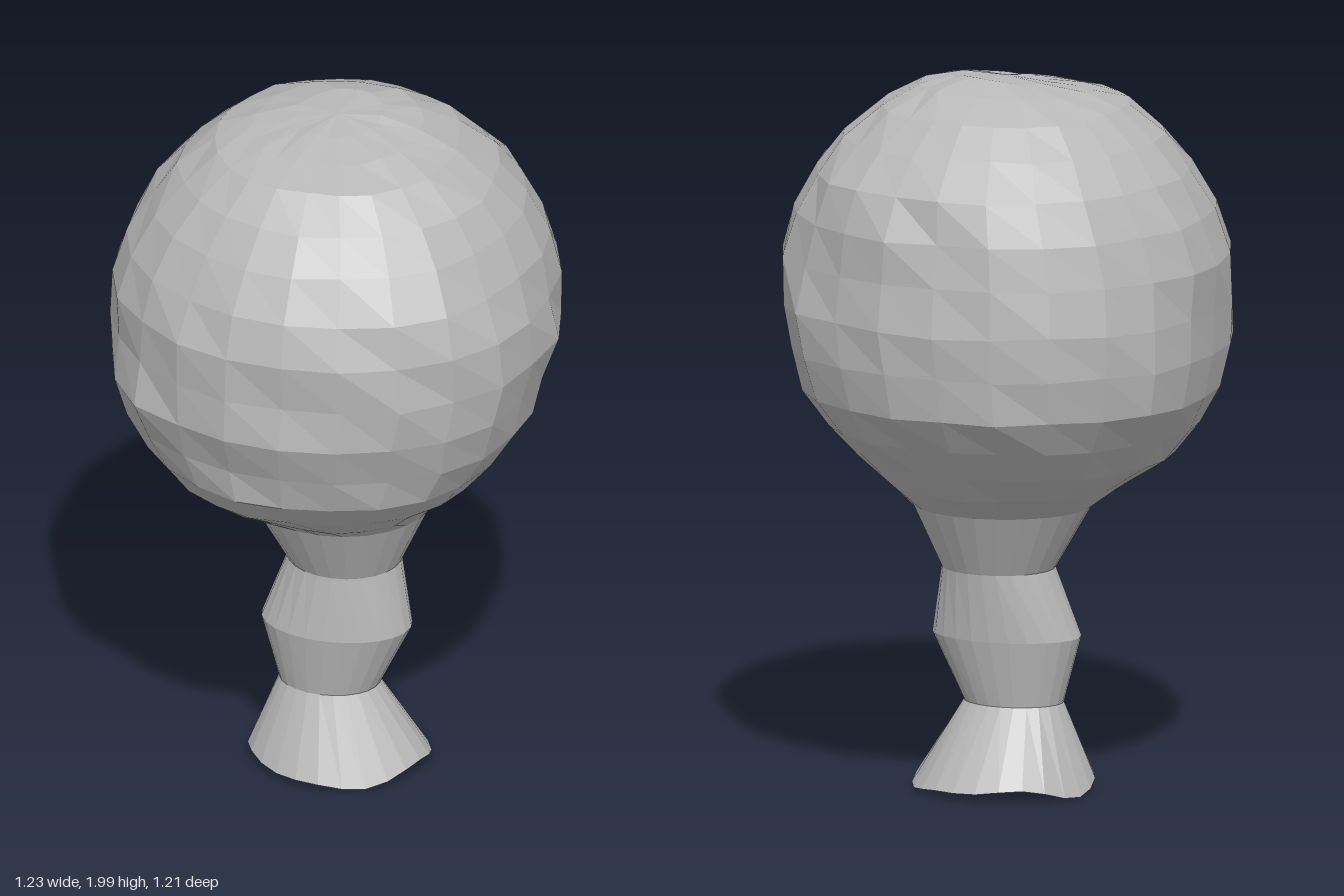
import * as THREE from 'three';

const SIDES = 24;

// Repeatable value in -1..1 for a ring and a side
function wobble(j, i) {
  const s = Math.sin(j * 127.1 + i * 311.7 + 4.3) * 43758.5453;
  return (s - Math.floor(s)) * 2 - 1;
}

// Faceted skin through rings of [y, minX, maxX, minZ, maxZ]
function loft(rings, shift) {
  const pos = [], index = [];
  rings.forEach(([y, x0, x1, z0, z1], j) => {
    for (let i = 0; i < SIDES; i++) {
      const a = (i / SIDES) * Math.PI * 2;
      const [k, dy] = shift(j, i, a);
      pos.push((x0 + x1) / 2 + Math.cos(a) * k * (x1 - x0) / 2, y + dy,
        (z0 + z1) / 2 + Math.sin(a) * k * (z1 - z0) / 2);
    }
  });
  for (let j = 0; j < rings.length - 1; j++) {
    for (let i = 0; i < SIDES; i++) {
      const n = (i + 1) % SIDES;
      const a = j * SIDES + i, b = j * SIDES + n, c = b + SIDES, d = a + SIDES;
      if (rings[j + 1][2] !== rings[j + 1][1]) index.push(a, d, c);
      else index.push(a, d, b);
      if (rings[j][2] !== rings[j][1] && rings[j + 1][2] !== rings[j + 1][1]) index.push(a, c, b);
    }
  }
  const indexed = new THREE.BufferGeometry();
  indexed.setAttribute('position', new THREE.Float32BufferAttribute(pos, 3));
  indexed.setIndex(index);
  const geometry = indexed.toNonIndexed();
  geometry.computeVertexNormals();
  return geometry;
}

export function createModel() {
  const group = new THREE.Group();
  const grey = new THREE.MeshStandardMaterial({ color: 0xb8b8b8 });
  grey.name = 'plain grey';

  // Stem: dimpled foot, flared base, flattened bulge and neck
  const stemRings = [
    [0.06, 0, 0, 0, 0],
    [0.05, -0.13, 0.13, -0.12, 0.11],
    [0.025, -0.25, 0.255, -0.245, 0.22],
    [0.245, -0.16, 0.12, -0.1, 0.115],
    [0.43, -0.21, 0.21, -0.135, 0.15],
    [0.62, -0.14, 0.175, -0.155, 0.135],
    [0.795, -0.24, 0.255, -0.24, 0.22],
  ];
  const stem = new THREE.Mesh(loft(stemRings, (j, i, a) => {
    const wave = j === 1 || j === 2 ? 0.013 * Math.sin(3 * a + 0.6) + 0.008 * Math.sin(5 * a) : 0;
    return [1, wave];
  }), grey);
  stem.name = 'stem';
  group.add(stem);

  // Crown: uneven ball with its lower ring on the neck
  const crownRings = [
    [0.795, -0.24, 0.255, -0.24, 0.22],
    [0.865, -0.34, 0.31, -0.345, 0.33],
    [0.94, -0.45, 0.4, -0.42, 0.44],
    [1.03, -0.52, 0.48, -0.51, 0.52],
    [1.13, -0.585, 0.545, -0.575, 0.55],
    [1.25, -0.61, 0.585, -0.605, 0.6],
    [1.37, -0.615, 0.61, -0.6, 0.585],
    [1.5, -0.605, 0.6, -0.585, 0.59],
    [1.62, -0.57, 0.565, -0.575, 0.555],
    [1.735, -0.505, 0.51, -0.535, 0.495],
    [1.83, -0.43, 0.44, -0.44, 0.43],
    [1.91, -0.33, 0.335, -0.345, 0.335],
    [1.955, -0.23, 0.23, -0.23, 0.23],
    [1.98, -0.12, 0.12, -0.13, 0.11],
    [1.985, 0, 0, 0, 0],
  ];
  const last = crownRings.length - 1;
  const crown = new THREE.Mesh(loft(crownRings, (j, i, a) => {
    if (j === 0 || j === last) return [1, 0];
    const square = 0.015 * (1 - Math.cos(4 * a));
    const tilt = j > 11 ? 0.015 * Math.cos(a + 1.0) : 0;
    return [1 + square + 0.022 * wobble(j, i), tilt + 0.004 * wobble(i, j)];
  }), grey);
  crown.name = 'crown';
  group.add(crown);
  return group;
}
